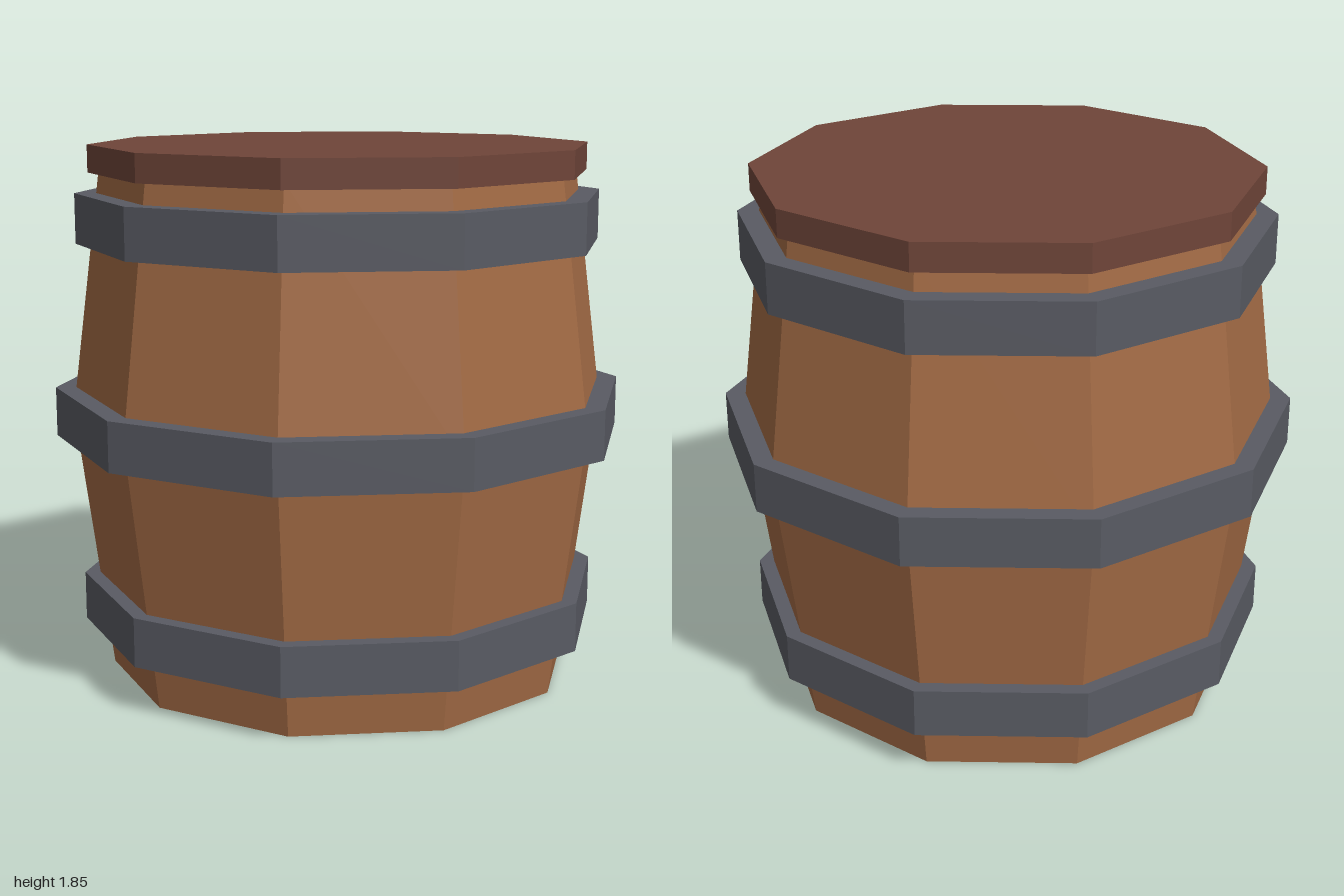
import * as THREE from 'three';

const SIDES = 10;

function material(name, color) {
  const m = new THREE.MeshStandardMaterial({ color, flatShading: true });
  m.name = name;
  return m;
}

// Ten-sided turned part with corners on +x and -x; profile runs bottom to top as [radius, y].
function turned(name, profile, mat) {
  const points = profile.map(([r, y]) => new THREE.Vector2(r, y));
  const mesh = new THREE.Mesh(new THREE.LatheGeometry(points, SIDES, Math.PI / 2), mat);
  mesh.name = name;
  return mesh;
}

export function createModel() {
  const wood = material('wood', 0xa36b45);
  const iron = material('iron', 0x595b63);
  const darkWood = material('darkWood', 0x6f4539);

  const barrel = new THREE.Group();
  barrel.name = 'barrel';

  // Staves bulging at the middle, with a closed bottom
  barrel.add(turned('staves', [[0, 0], [0.82, 0], [0.94, 0.925], [0.83, 1.78]], wood));

  // Overhanging lid
  barrel.add(turned('lid', [[0, 1.755], [0.87, 1.755], [0.87, 1.85], [0, 1.85]], darkWood));

  // Iron hoops: [name, outer radius, bottom, top, inner radius]
  const hoops = [
    ['lowerHoop', 0.917, 0.167, 0.336, 0.82],
    ['middleHoop', 1, 0.84, 1.01, 0.9],
    ['upperHoop', 0.917, 1.512, 1.685, 0.82],
  ];
  for (const [name, outer, y0, y1, inner] of hoops) {
    barrel.add(turned(name, [[inner, y0], [outer, y0], [outer, y1], [inner, y1]], iron));
  }

  return barrel;
}
